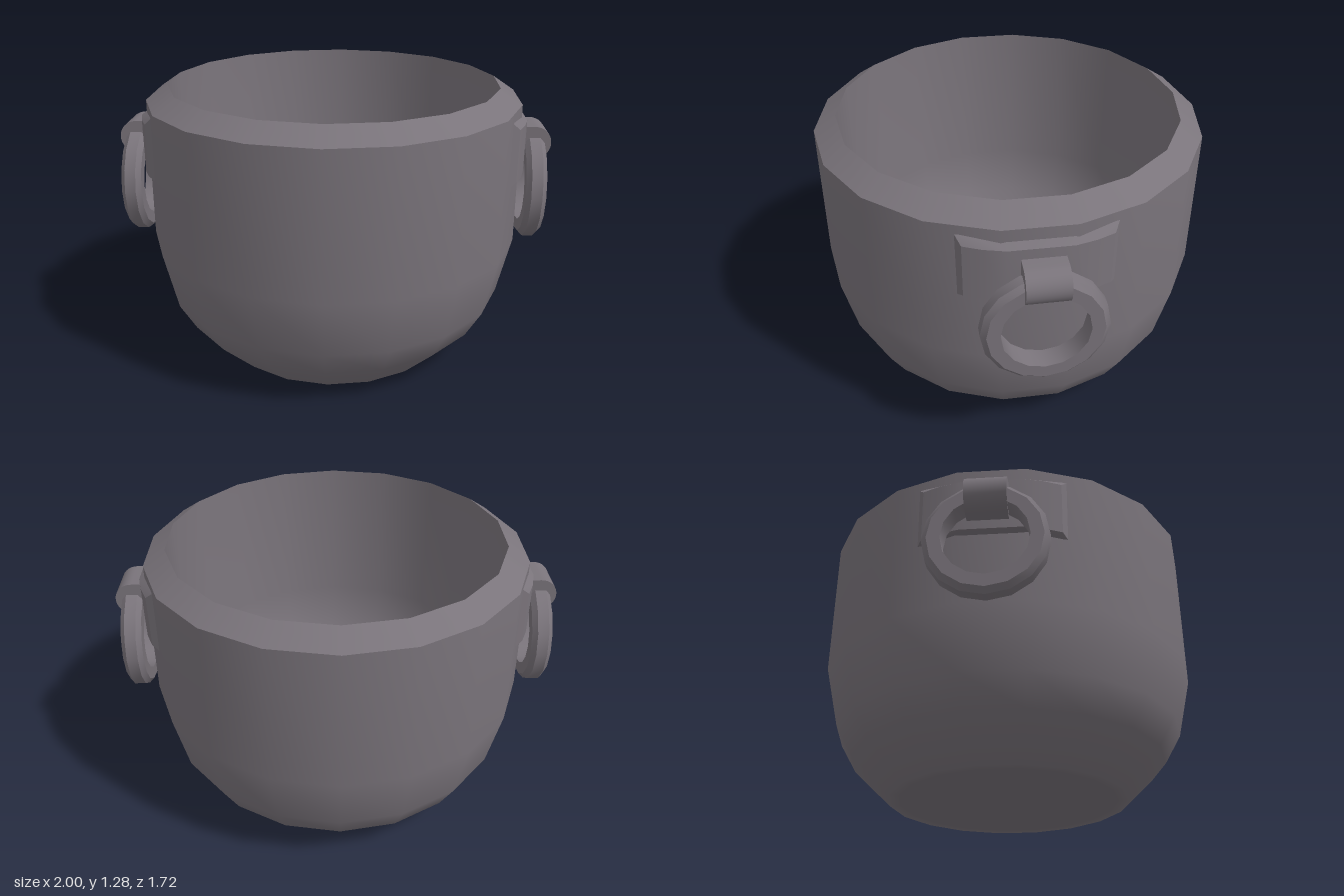
import * as THREE from 'three';
import { toCreasedNormals } from 'three/addons/utils/BufferGeometryUtils.js';
import { ConvexGeometry } from 'three/addons/geometries/ConvexGeometry.js';

const SIDES = 18;
const iron = new THREE.MeshStandardMaterial({ color: 0x7a747b });
iron.name = 'dark iron';

function part(name, geometry) {
  const mesh = new THREE.Mesh(geometry, iron);
  mesh.name = name;
  return mesh;
}

function lathe(points, sides) {
  return new THREE.LatheGeometry(points.map(([r, y]) => new THREE.Vector2(r, y)), sides);
}

// Curved mounting plate, bevelled on all edges, hugging the +x wall
function plateGeometry() {
  const points = [];
  const add = (x, y, z) => points.push(new THREE.Vector3(x, y, z), new THREE.Vector3(x, y, -z));
  for (const [z, x] of [[0.13, 0.873], [0.22, 0.85], [0.295, 0.818]]) {
    const back = Math.max(0.755, x - 0.06);
    add(back, 1.185, z);
    add(x, 1.14, z);
    add(x, 0.9, z);
    add(back, 0.875, z);
  }
  add(0.77, 1.185, 0.325);
  add(0.77, 0.875, 0.325);
  return toCreasedNormals(new ConvexGeometry(points), 0.45);
}

// Solid round-nosed bracket, extruded along z
function bracketGeometry() {
  const cx = 0.923, cy = 1.018, r = 0.077;
  const shape = new THREE.Shape();
  shape.moveTo(0.85, cy - r);
  shape.lineTo(cx, cy - r);
  shape.absarc(cx, cy, r, -Math.PI / 2, Math.PI / 2, false);
  shape.lineTo(0.85, cy + r);
  shape.closePath();
  const g = new THREE.ExtrudeGeometry(shape, { depth: 0.175, bevelEnabled: false, curveSegments: 8 });
  g.translate(0, 0, -0.0875);
  return toCreasedNormals(g, 0.9);
}

// Hanging ring with a chamfered outer edge, axis along x
function ringGeometry() {
  const section = [[0.18, -0.046], [0.235, -0.046], [0.258, -0.025],
    [0.258, 0.025], [0.235, 0.046], [0.18, 0.046], [0.18, -0.046]];
  const g = lathe(section, 16);
  g.rotateZ(Math.PI / 2);
  g.translate(0.925, 0.802, 0);
  return toCreasedNormals(g, 0.5);
}

export function createModel() {
  const model = new THREE.Group();
  model.name = 'cauldron';

  // Bowl: outer skin, bevelled rim and inner skin meet at sharp edges
  model.add(
    part('bowlOutside', lathe([[0, 0], [0.5, 0], [0.55, 0], [0.725, 0.17], [0.8, 0.3], [0.862, 0.57], [0.857, 1.215]], SIDES)),
    part('rim', lathe([[0.857, 1.215], [0.757, 1.283]], SIDES)),
    part('bowlInside', lathe([[0.757, 1.283], [0.74, 0.6], [0.69, 0.38], [0.56, 0.14], [0.48, 0.09], [0.43, 0.09], [0, 0.09]], SIDES)),
  );

  // One handle on each side
  for (const [name, s] of [['leftHandle', 1], ['rightHandle', -1]]) {
    const handle = new THREE.Group();
    handle.name = name;
    const bracket = part('bracket', bracketGeometry());
    const ring = part('ring', ringGeometry());
    bracket.position.z = ring.position.z = -0.01 * s;
    handle.add(part('mountingPlate', plateGeometry()), bracket, ring);
    if (s < 0) handle.rotation.y = Math.PI;
    model.add(handle);
  }
  return model;
}
